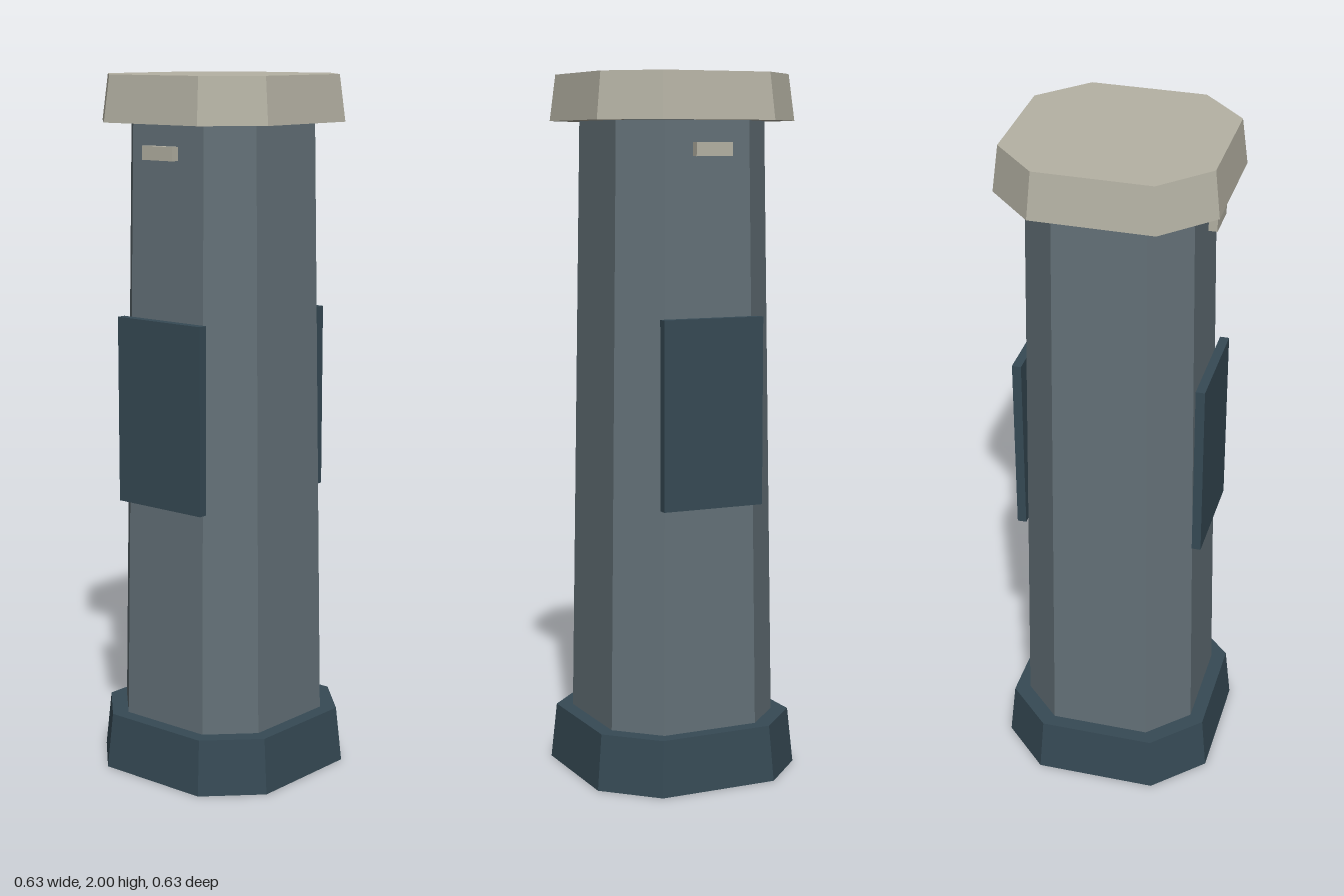
import * as THREE from 'three';
import { ConvexGeometry } from 'three/addons/geometries/ConvexGeometry.js';

const CORNER = 0.56; // half length of a main side relative to the half width

// Corners of a square with cut corners at height y
function octagon(half, y) {
  const c = half * CORNER;
  return [
    [c, half], [half, c], [half, -c], [c, -half],
    [-c, -half], [-half, -c], [-half, c], [-c, half],
  ].map(([x, z]) => new THREE.Vector3(x, y, z));
}

export function createModel() {
  const slate = new THREE.MeshStandardMaterial({ name: 'slate grey', color: 0x647178, flatShading: true });
  const navy = new THREE.MeshStandardMaterial({ name: 'dark blue grey', color: 0x364a55, flatShading: true });
  const stone = new THREE.MeshStandardMaterial({ name: 'pale stone', color: 0xb5b2a4, flatShading: true });

  const model = new THREE.Group();
  model.name = 'pillar';

  function add(name, geometry, material) {
    const mesh = new THREE.Mesh(geometry, material);
    mesh.name = name;
    model.add(mesh);
    return mesh;
  }

  // Tapered eight-sided block
  function block(name, y0, half0, y1, half1, material) {
    add(name, new ConvexGeometry([...octagon(half0, y0), ...octagon(half1, y1)]), material);
  }

  block('base', 0, 0.313, 0.16, 0.298, navy);
  block('shaft', 0.16, 0.256, 1.87, 0.229, slate);
  block('cap', 1.87, 0.303, 2, 0.288, stone);

  // Panel and small light bar on the front and back
  for (const [side, s] of [['front', 1], ['back', -1]]) {
    add(side + 'Panel', new THREE.BoxGeometry(0.304, 0.53, 0.026), navy)
      .position.set(0, 1.066, s * 0.261);
    add(side + 'LightBar', new THREE.BoxGeometry(0.11, 0.038, 0.024), stone)
      .position.set(0, 1.791, s * 0.262);
  }

  return model;
}
